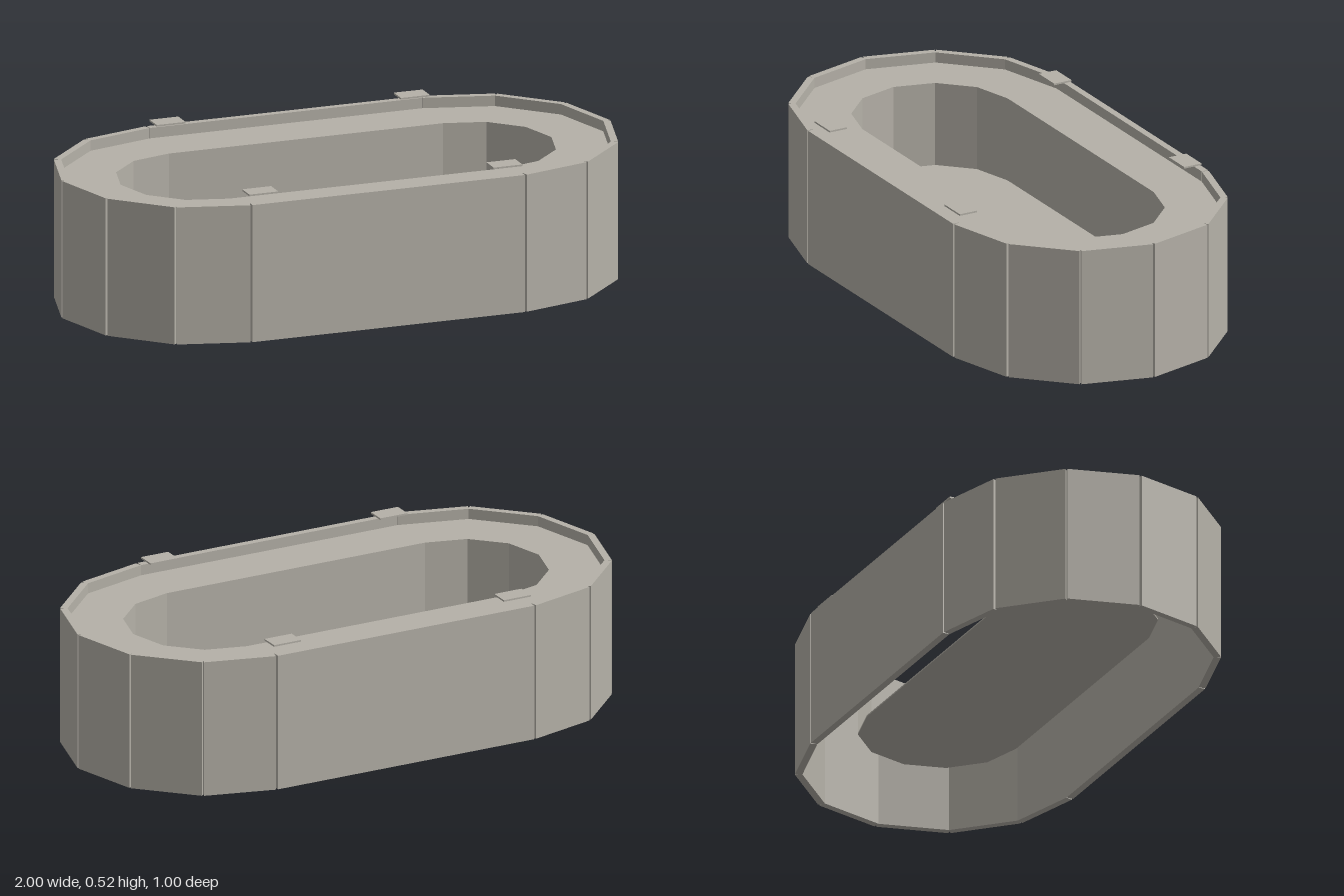
import * as THREE from 'three';

const HEIGHT = 0.487, WALL = 0.025, LEDGE_TOP = 0.45, LEDGE_BOTTOM = 0.43, FLOOR = 0.15;

// Corners of a long rounded outline: two six-sided half circles joined by straights.
function outline(radius) {
  const points = [];
  for (const side of [1, -1]) {
    for (let i = 0; i <= 6; i++) {
      const a = -Math.PI / 2 + (i * Math.PI) / 6;
      points.push(new THREE.Vector2(side * (0.5 + radius * Math.cos(a)), side * radius * Math.sin(a)));
    }
  }
  return points;
}

// Inward-facing vertical faces along an outline.
function innerWallGeometry(points, y0, y1) {
  const positions = [];
  points.forEach((a, i) => {
    const b = points[(i + 1) % points.length];
    const A = [a.x, y0, -a.y], B = [b.x, y0, -b.y], C = [b.x, y1, -b.y], D = [a.x, y1, -a.y];
    positions.push(...A, ...C, ...B, ...A, ...D, ...C);
  });
  const geometry = new THREE.BufferGeometry();
  geometry.setAttribute('position', new THREE.Float32BufferAttribute(positions, 3));
  geometry.computeVertexNormals();
  return geometry;
}

export function createModel() {
  const model = new THREE.Group();
  model.name = 'basin';
  const stone = new THREE.MeshStandardMaterial({ color: 0xb5b1a8, flatShading: true });
  stone.name = 'warm grey stone';

  const add = (name, geometry, parent = model) => {
    const mesh = new THREE.Mesh(geometry, stone);
    mesh.name = name;
    parent.add(mesh);
    return mesh;
  };

  // Outer shell: separate flat panels with fine open joints at the corners
  const shell = new THREE.Group();
  shell.name = 'outerShell';
  model.add(shell);
  const outer = outline(0.5);
  outer.forEach((a, i) => {
    const b = outer[(i + 1) % outer.length];
    const dir = b.clone().sub(a);
    const length = dir.length();
    dir.normalize();
    const mid = a.clone().add(b).multiplyScalar(0.5);
    const panel = add('wallPanel', new THREE.BoxGeometry(length - 0.008, HEIGHT, WALL), shell);
    // inward normal of a counter-clockwise outline is (-dy, dx)
    panel.position.set(mid.x - dir.y * WALL / 2, HEIGHT / 2, -(mid.y + dir.x * WALL / 2));
    panel.rotation.y = Math.atan2(dir.y, dir.x);
  });

  // Recessed ledge with the long opening
  const inner = outline(0.285);
  const ledgeShape = new THREE.Shape(outline(0.477));
  ledgeShape.holes.push(new THREE.Path(inner));
  const ledge = add('ledge', new THREE.ExtrudeGeometry(ledgeShape, {
    depth: LEDGE_TOP - LEDGE_BOTTOM, bevelEnabled: false,
  }));
  ledge.rotation.x = -Math.PI / 2;
  ledge.position.y = LEDGE_BOTTOM;

  // Inside of the basin and its floor
  add('innerWall', innerWallGeometry(inner, FLOOR, LEDGE_BOTTOM));
  const floor = add('floor', new THREE.ExtrudeGeometry(new THREE.Shape(inner), {
    depth: 0.005, bevelEnabled: false,
  }));
  floor.rotation.x = -Math.PI / 2;
  floor.position.y = FLOOR - 0.005;

  // Four small plates above the ledge
  for (const x of [-0.445, 0.445]) {
    for (const z of [-0.44, 0.44]) {
      add('topPlate', new THREE.BoxGeometry(0.105, 0.006, 0.068)).position.set(x, 0.514, z);
    }
  }
  return model;
}
